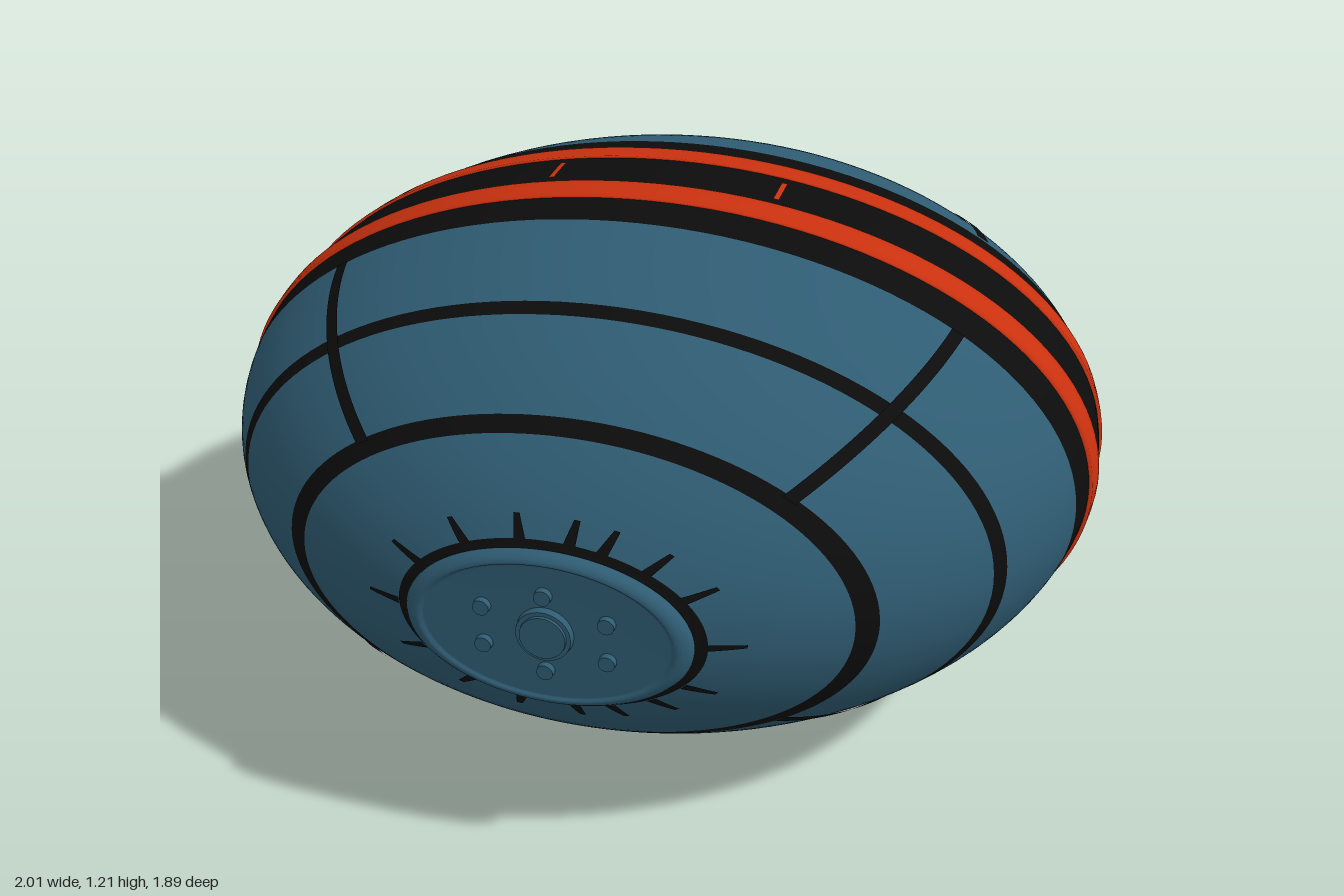
import * as THREE from 'three';

const SX = 1, SY = 0.6, SZ = 0.94; // semi-axes of the hull

function material(name, color, side = THREE.FrontSide) {
  const m = new THREE.MeshStandardMaterial({ color, side });
  m.name = name;
  return m;
}

const radiusAt = (z) => SX * Math.sqrt(Math.max(0, 1 - (z / SZ) ** 2));

export function createModel() {
  const blue = material('steel blue', 0x2f5c73);
  const black = material('black', 0x0c0c0c, THREE.DoubleSide);
  const orange = material('orange red', 0xc9310f, THREE.DoubleSide);

  const model = new THREE.Group();
  model.name = 'ellipsoidPod';
  const body = new THREE.Group();
  body.name = 'body';
  body.position.y = 0.6;
  model.add(body);

  const add = (parent, name, geometry, mat) => {
    const mesh = new THREE.Mesh(geometry, mat);
    mesh.name = name;
    parent.add(mesh);
    return mesh;
  };

  // Turned around the z axis, then flattened in y
  const turned = (pairs) => {
    const g = new THREE.LatheGeometry(pairs.map(([r, z]) => new THREE.Vector2(r, z)), 128);
    return g.rotateX(Math.PI / 2).scale(1, SY, 1);
  };

  // Slice of the hull between two z values
  const slice = (z0, z1, lift = 0) => {
    const n = Math.max(4, Math.ceil((z1 - z0) / 0.02));
    const pts = [];
    for (let i = 0; i <= n; i++) {
      const z = z0 + (z1 - z0) * i / n;
      pts.push([radiusAt(z) + lift, z]);
    }
    if (lift > 0) {
      pts.unshift([radiusAt(z0) - 0.005, z0 - 0.001]);
      pts.push([radiusAt(z1) - 0.005, z1 + 0.001]);
    }
    return turned(pts);
  };

  // Thin strip lying on the hull, running along z at angle phi
  const strip = (z0, z1, phi, width, endWidth = width, lift = 0.003) => {
    const g = new THREE.PlaneGeometry(1, 1, 2, 24);
    const p = g.attributes.position;
    for (let i = 0; i < p.count; i++) {
      const t = p.getY(i) + 0.5;
      const z = z0 + (z1 - z0) * t;
      const r = radiusAt(z);
      const a = phi + p.getX(i) * (width + (endWidth - width) * t) / r;
      p.setXYZ(i, (r + lift) * Math.cos(a), (r + lift) * SY * Math.sin(a), z + lift * 0.5);
    }
    g.computeVertexNormals();
    return g;
  };

  // Central belt with short orange marks above and below
  add(body, 'centreBelt', slice(-0.08, 0.08), black);
  for (const x of [-0.255, 0.255]) {
    for (const s of [-1, 1]) {
      const phi = Math.atan2(s * Math.sqrt(1 - x * x), x);
      add(body, 'beltMark', strip(-0.048, 0.048, phi, 0.013), orange);
    }
  }

  // Each half is the same, turned about y
  for (const side of ['front', 'back']) {
    const half = new THREE.Group();
    half.name = side + 'Half';
    if (side === 'back') half.rotation.y = Math.PI;
    body.add(half);

    add(half, 'orangeBand', slice(0.079, 0.155, 0.008), orange);
    add(half, 'outerBelt', slice(0.15, 0.25), black);
    add(half, 'widePanel', slice(0.25, 0.507), blue);
    add(half, 'middleRing', slice(0.507, 0.54), black);
    add(half, 'middlePanel', slice(0.54, 0.738), blue);
    add(half, 'innerRing', slice(0.738, 0.768), black);
    add(half, 'endPanel', slice(0.768, 0.893), blue);

    // Diagonal panel seams
    for (let i = 0; i < 4; i++) {
      const phi = Math.PI / 4 + i * Math.PI / 2;
      add(half, 'panelSeam', strip(0.25, 0.745, phi, 0.036), black);
    }

    // Dark collar and the short notches around the hatch
    add(half, 'hatchCollar', turned([[0.318, 0.888], [0.312, 0.896], [0.285, 0.897], [0.285, 0.91]]), black);
    for (const deg of [0, 32, 52, 70, 82, 100, 122, 148, 180, 212, 238, 258, 278, 292, 310, 328]) {
      add(half, 'hatchNotch', strip(0.868, 0.893, THREE.MathUtils.degToRad(deg), 0.012, 0.024), black);
    }

    // Hatch plate with a stepped face
    add(half, 'hatchPlate', turned([
      [0.284, 0.898], [0.292, 0.903], [0.292, 0.91], [0.286, 0.92], [0.276, 0.927],
      [0.266, 0.93], [0.258, 0.93], [0.254, 0.926], [0.248, 0.925], [0.12, 0.925], [0, 0.925],
    ].map(([r, z]) => [r, z])), blue);

    // Hub and six bolts
    const boss = (name, r, top, x, y) => {
      const h = top - 0.915;
      const g = new THREE.CylinderGeometry(r * 0.93, r, h, 32).rotateX(Math.PI / 2);
      add(half, name, g, blue).position.set(x, y, top - h / 2);
    };
    boss('hubRim', 0.06, 0.939, 0, 0);
    boss('hubCap', 0.05, 0.945, 0, 0);
    for (let i = 0; i < 6; i++) {
      const a = Math.PI / 6 + i * Math.PI / 3;
      boss('bolt', 0.018, 0.938, 0.145 * Math.cos(a), 0.087 * Math.sin(a));
    }
  }
  return model;
}
